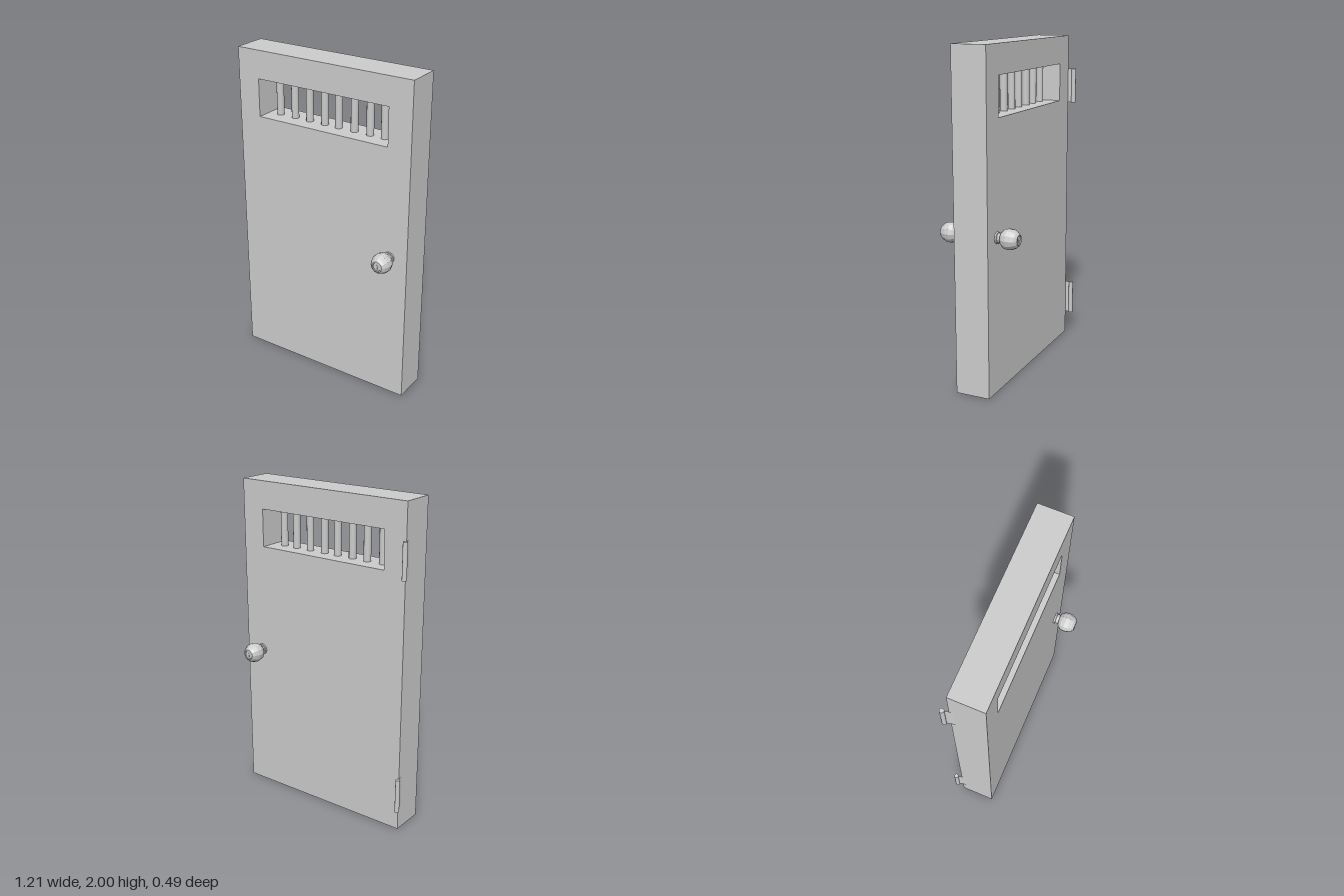
import * as THREE from 'three';

const smooth = new THREE.MeshStandardMaterial({ color: 0xcccccc });
const faceted = new THREE.MeshStandardMaterial({ color: 0xcccccc, flatShading: true });
const thin = new THREE.MeshStandardMaterial({ color: 0xcccccc, side: THREE.DoubleSide });

const W = 1.163, H = 2, T = 0.21;
const WINDOW = { left: -0.44, right: 0.435, bottom: 1.6, top: 1.83 };

function add(parent, name, geometry, material) {
  const mesh = new THREE.Mesh(geometry, material);
  mesh.name = name;
  parent.add(mesh);
  return mesh;
}

function rectangle(Type, x0, y0, x1, y1) {
  return new Type([[x0, y0], [x1, y0], [x1, y1], [x0, y1]].map(p => new THREE.Vector2(...p)));
}

// Knob turned around its axis, standing out along +z from the panel face
function createKnob(name) {
  const knob = new THREE.Group();
  knob.name = name;
  const profile = [
    [0.035, -0.005], [0.035, 0.01], [0.029, 0.012], [0.029, 0.03], [0.04, 0.033], [0.055, 0.051],
    [0.061, 0.075], [0.058, 0.1], [0.047, 0.123], [0.033, 0.137],
    [0.027, 0.137], [0.025, 0.132], [0, 0.132],
  ].map(p => new THREE.Vector2(...p));
  add(knob, 'knobBody', new THREE.LatheGeometry(profile, 12).rotateX(Math.PI / 2), faceted);
  // Keyhole: round top and a narrow slot
  const round = add(knob, 'keyholeRound', new THREE.CylinderGeometry(0.007, 0.007, 0.004, 8).rotateX(Math.PI / 2), faceted);
  round.position.set(0, 0.004, 0.132);
  const slot = add(knob, 'keyholeSlot', new THREE.BoxGeometry(0.006, 0.016, 0.004), faceted);
  slot.position.set(0, -0.006, 0.132);
  return knob;
}

// Hinge pin with a thin leaf reaching the side of the panel
function createHinge(name, y) {
  const hinge = new THREE.Group();
  hinge.name = name;
  const height = 0.216;
  add(hinge, 'hingePin', new THREE.CylinderGeometry(0.014, 0.014, height, 12), smooth);
  const dx = 0.02, dz = 0.067;
  const leaf = add(hinge, 'hingeLeaf', new THREE.PlaneGeometry(Math.hypot(dx, dz), height), thin);
  leaf.position.set(dx / 2, 0, dz / 2);
  leaf.rotation.y = -Math.atan2(dz, dx);
  hinge.position.set(-0.591, y, -0.047);
  return hinge;
}

export function createModel() {
  const model = new THREE.Group();
  model.name = 'barredDoor';

  // Everything but the hinges swings slightly open
  const door = new THREE.Group();
  door.name = 'swingingDoor';
  door.position.set(0.0133, 0, 0.0385);
  door.rotation.y = THREE.MathUtils.degToRad(5);
  model.add(door);

  // Panel with window opening
  const shape = rectangle(THREE.Shape, -W / 2, 0, W / 2, H);
  shape.holes.push(rectangle(THREE.Path, WINDOW.left, WINDOW.bottom, WINDOW.right, WINDOW.top));
  const panel = new THREE.ExtrudeGeometry(shape, { depth: T, bevelEnabled: false });
  add(door, 'panel', panel.translate(0, 0, -T / 2), smooth);

  // Window bars
  const barHeight = WINDOW.top - WINDOW.bottom;
  const barGeometry = new THREE.CylinderGeometry(0.022, 0.022, barHeight, 12, 1, true);
  [-0.364, -0.257, -0.153, -0.047, 0.049, 0.155, 0.259, 0.354].forEach((x, i) => {
    add(door, `windowBar${i + 1}`, barGeometry, smooth)
      .position.set(x, WINDOW.bottom + barHeight / 2, 0);
  });

  // Knobs on both faces
  const frontKnob = createKnob('frontKnob');
  frontKnob.position.set(0.465, 0.93, T / 2);
  const backKnob = createKnob('backKnob');
  backKnob.position.set(0.465, 0.93, -T / 2);
  backKnob.rotation.y = Math.PI;
  door.add(frontKnob, backKnob);

  // Hinges
  model.add(createHinge('upperHinge', 1.682), createHinge('lowerHinge', 0.247));
  return model;
}
